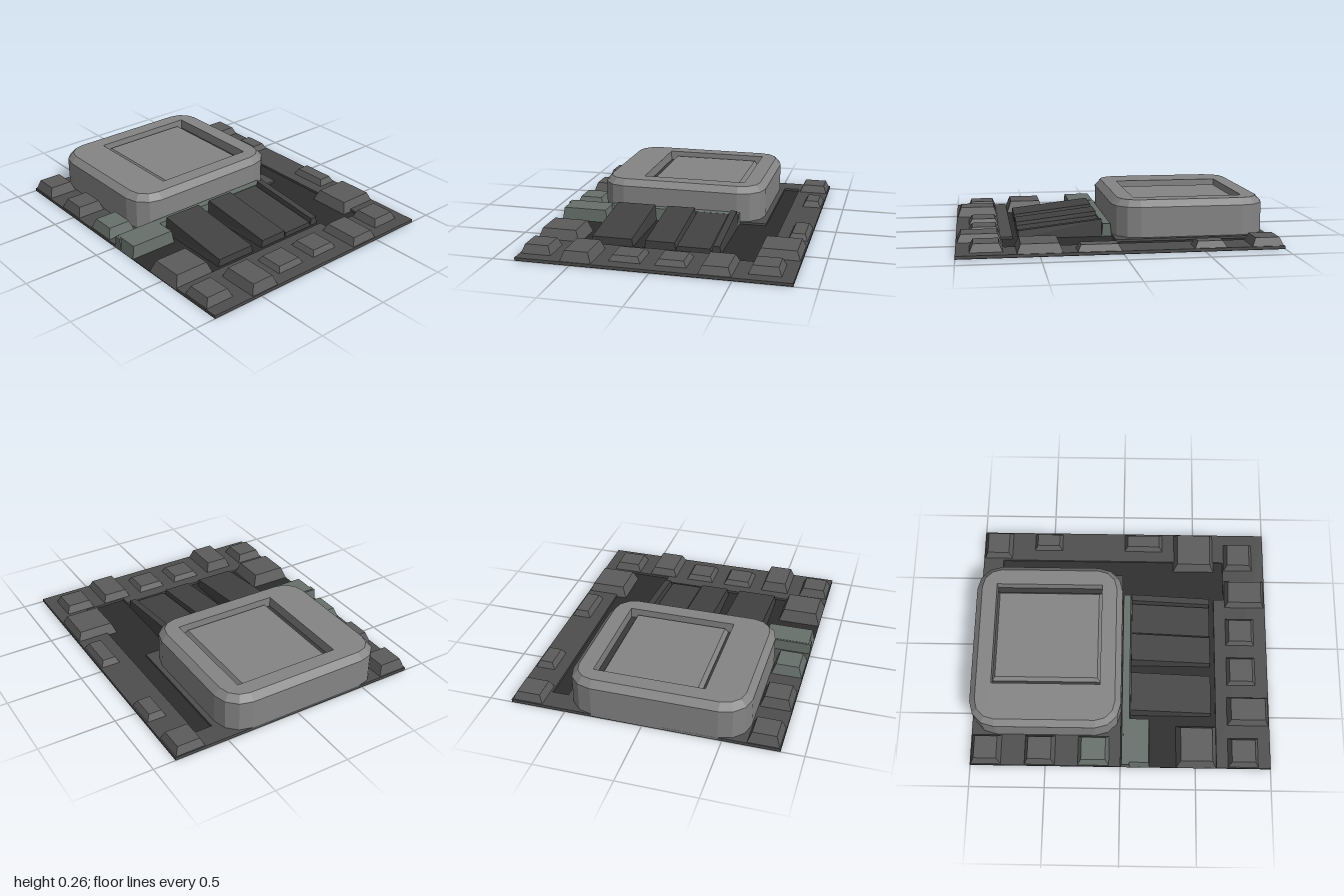
import * as THREE from 'three';

const W = 0.855; // half width of the plate

export function createModel() {
  const model = new THREE.Group();
  const mats = {};
  const mat = (color) => (mats[color] ??= new THREE.MeshStandardMaterial({ color, flatShading: true, side: THREE.DoubleSide }));
  const add = (name, geo, color) => {
    const mesh = new THREE.Mesh(geo, mat(color));
    mesh.name = name;
    model.add(mesh);
    return mesh;
  };

  // Box whose top corners are moved by a rule
  const shapedBox = (x0, x1, z0, z1, y0, y1, rule) => {
    const geo = new THREE.BoxGeometry(x1 - x0, y1 - y0, z1 - z0);
    geo.translate((x0 + x1) / 2, (y0 + y1) / 2, (z0 + z1) / 2);
    const p = geo.attributes.position;
    const mx = (x0 + x1) / 2, mz = (z0 + z1) / 2;
    for (let i = 0; i < p.count; i++) {
      if (p.getY(i) < (y0 + y1) / 2) continue;
      const [x, y, z] = rule(p.getX(i), p.getY(i), p.getZ(i), p.getX(i) > mx ? -1 : 1, p.getZ(i) > mz ? -1 : 1);
      p.setXYZ(i, x, y, z);
    }
    geo.computeVertexNormals();
    return geo;
  };
  const inset = (ix, iz = ix) => (x, y, z, sx, sz) => [x + sx * ix, y, z + sz * iz];

  // Flat slab from a shape drawn in x and z
  const slab = (shape, y0, y1) => {
    const geo = new THREE.ExtrudeGeometry(shape, { depth: y1 - y0, bevelEnabled: false });
    return geo.rotateX(Math.PI / 2).translate(0, y1, 0);
  };
  const toShape = (pts) => new THREE.Shape(pts.map(([x, z]) => new THREE.Vector2(x, z)));

  // Dark floor with the raised plate around its channels
  add('channelFloor', shapedBox(-W, W, -1, 1, 0, 0.005, (x, y, z) => [x, y, z]), 0x2c2c2c);
  add('basePlate', slab(toShape([
    [-W, -1], [W, -1], [W, 1], [-W, 1], [-W, 0.64], [0.35, 0.64], [0.35, 0.71], [0.64, 0.71],
    [0.64, -0.86], [0.53, -0.86], [0.53, 0], [-W, 0],
  ]), 0, 0.02), 0x4e4e4e);

  // Rounded housing: outline with three-sided corners
  const outline = (d) => {
    const r = 0.17, pts = [];
    const corners = [[0.495 - r, -r], [-0.645 + r, -r], [-0.645 + r, -1 + r], [0.495 - r, -1 + r]];
    corners.forEach(([cx, cz], k) => {
      for (let j = 0; j <= 3; j++) {
        const a = (k + j / 3) * Math.PI / 2;
        pts.push([cx + (r - d) * Math.cos(a), cz + (r - d) * Math.sin(a)]);
      }
    });
    return pts;
  };
  const rings = [[0, 0.005], [0, 0.215], [0.04, 0.257]];
  const n = 16, pos = [], idx = [];
  rings.forEach(([d, y]) => outline(d).forEach(([x, z]) => pos.push(x, y, z)));
  for (let k = 0; k < rings.length - 1; k++) {
    for (let i = 0; i < n; i++) {
      const a = k * n + i, b = k * n + (i + 1) % n;
      idx.push(a, a + n, b, b, a + n, b + n);
    }
  }
  const wall = new THREE.BufferGeometry();
  wall.setAttribute('position', new THREE.Float32BufferAttribute(pos, 3));
  wall.setIndex(idx);
  wall.computeVertexNormals();
  add('housingWall', wall, 0x858585);

  // Housing top with its recess, and the panel inside
  const top = toShape(outline(0.04));
  top.holes.push(new THREE.Path([[-0.36, -0.86], [-0.36, -0.14], [0.35, -0.14], [0.35, -0.86]]
    .map(([x, z]) => new THREE.Vector2(x, z))));
  add('housingTop', slab(top, 0.19, 0.257), 0x858585);
  add('recessFloor', shapedBox(-0.38, 0.37, -0.88, -0.12, 0.17, 0.19, (x, y, z) => [x, y, z]), 0x3a3a3a);
  add('recessPanel', shapedBox(-0.325, 0.315, -0.86, -0.14, 0.19, 0.225, inset(0.02)), 0x858585);

  // Bevelled blocks around the border: x0, x1, z0, z1, height
  const grey = 0x5c5c5c, green = 0x66706b;
  const blocks = [
    [-W, -0.645, -1, -0.79, 0.085], [-W, -0.645, -0.645, -0.43, 0.085], [-W, -0.645, -0.29, -0.07, 0.085, green],
    [0.645, W, -1, -0.79, 0.07], [0.71, W, -0.645, -0.43, 0.06], [0.71, W, 0, 0.285, 0.06],
    [0.57, W, 0.355, 0.645, 0.075], [-W, -0.57, 0.37, 0.64, 0.085],
    [-W, -0.645, 0.71, 0.925, 0.075], [-0.57, -0.36, 0.71, 1, 0.085], [-0.29, -0.07, 0.71, 0.925, 0.055],
    [0, 0.215, 0.71, 0.925, 0.055], [0.285, 0.5, 0.71, 1, 0.07], [0.57, 0.785, 0.71, 0.925, 0.07],
  ];
  for (const [x0, x1, z0, z1, h, color = grey] of blocks) {
    add('borderBlock', shapedBox(x0, x1, z0, z1, 0.003, h, inset(0.03)), color);
  }

  // Crossbar in front of the housing, with its side block
  add('crossbar', shapedBox(-W, 0.35, 0, 0.065, 0.003, 0.088, inset(0, 0.008)), green);
  add('crossbarBlock', shapedBox(-W, -0.53, 0.01, 0.195, 0.003, 0.09, inset(0.015, 0.008)), green);

  // Sloping fins: x0, x1, back height, front height
  const fins = [[-0.5, -0.22, 0.117, 0.055], [-0.145, 0.06, 0.117, 0.055], [0.06, 0.29, 0.09, 0.035], [0.29, 0.35, 0.117, 0.055]];
  for (const [x0, x1, back, front] of fins) {
    add('slopingFin', shapedBox(x0, x1, 0.065, 0.605, 0.003, back,
      (x, y, z, sx, sz) => [x + sx * 0.008, sz > 0 ? back : front, z]), 0x424242);
  }

  return model;
}
